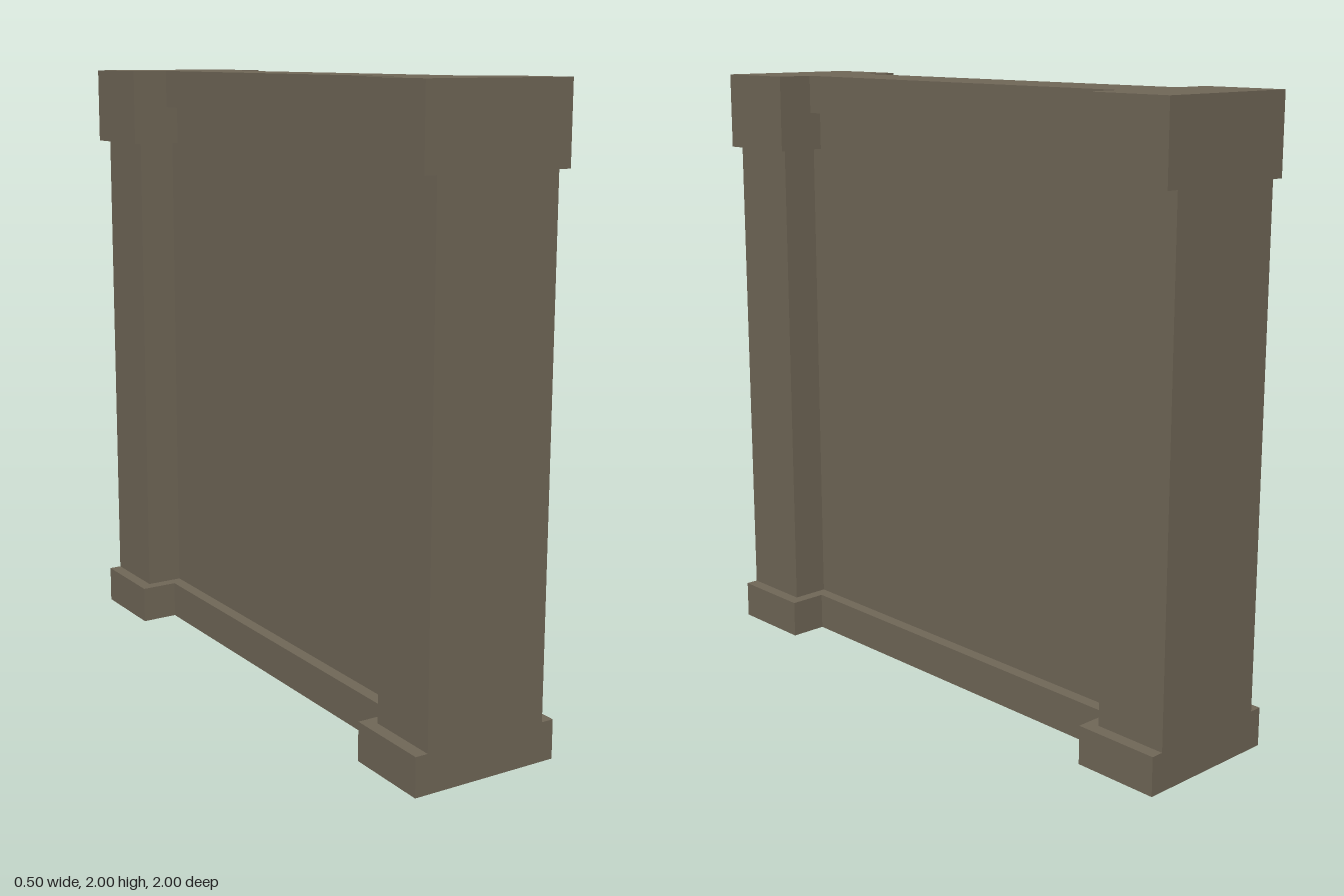
import * as THREE from 'three';

export function createModel() {
  const group = new THREE.Group();
  const stone = new THREE.MeshStandardMaterial({ color: 0x706757 });
  stone.name = 'weathered stone';

  // Box centred on x, spanning the given y and z ranges
  const block = (name, width, y0, y1, z0, z1) => {
    const mesh = new THREE.Mesh(new THREE.BoxGeometry(width, y1 - y0, z1 - z0), stone);
    mesh.position.set(0, (y0 + y1) / 2, (z0 + z1) / 2);
    mesh.name = name;
    group.add(mesh);
  };

  const baseTop = 0.125, capBottom = 1.75, railBottom = 1.875;
  const capInner = 0.71, postInner = 0.75;

  // Recessed wall panel with its bottom and top rails
  block('panel', 0.167, baseTop, railBottom, -postInner, postInner);
  block('bottomRail', 0.25, 0, baseTop, -capInner, capInner);
  block('topRail', 0.25, railBottom, 2, -capInner, capInner);

  // End pillars: plinth, post and cap, mirrored front to back
  for (const [end, s] of [['front', 1], ['back', -1]]) {
    const span = (inner) => (s > 0 ? [inner, 1] : [-1, -inner]);
    block(end + 'Plinth', 0.5, 0, baseTop, ...span(capInner));
    block(end + 'Post', 0.417, baseTop, capBottom, ...span(postInner));
    block(end + 'Cap', 0.5, capBottom, 2, ...span(capInner));
  }
  return group;
}
